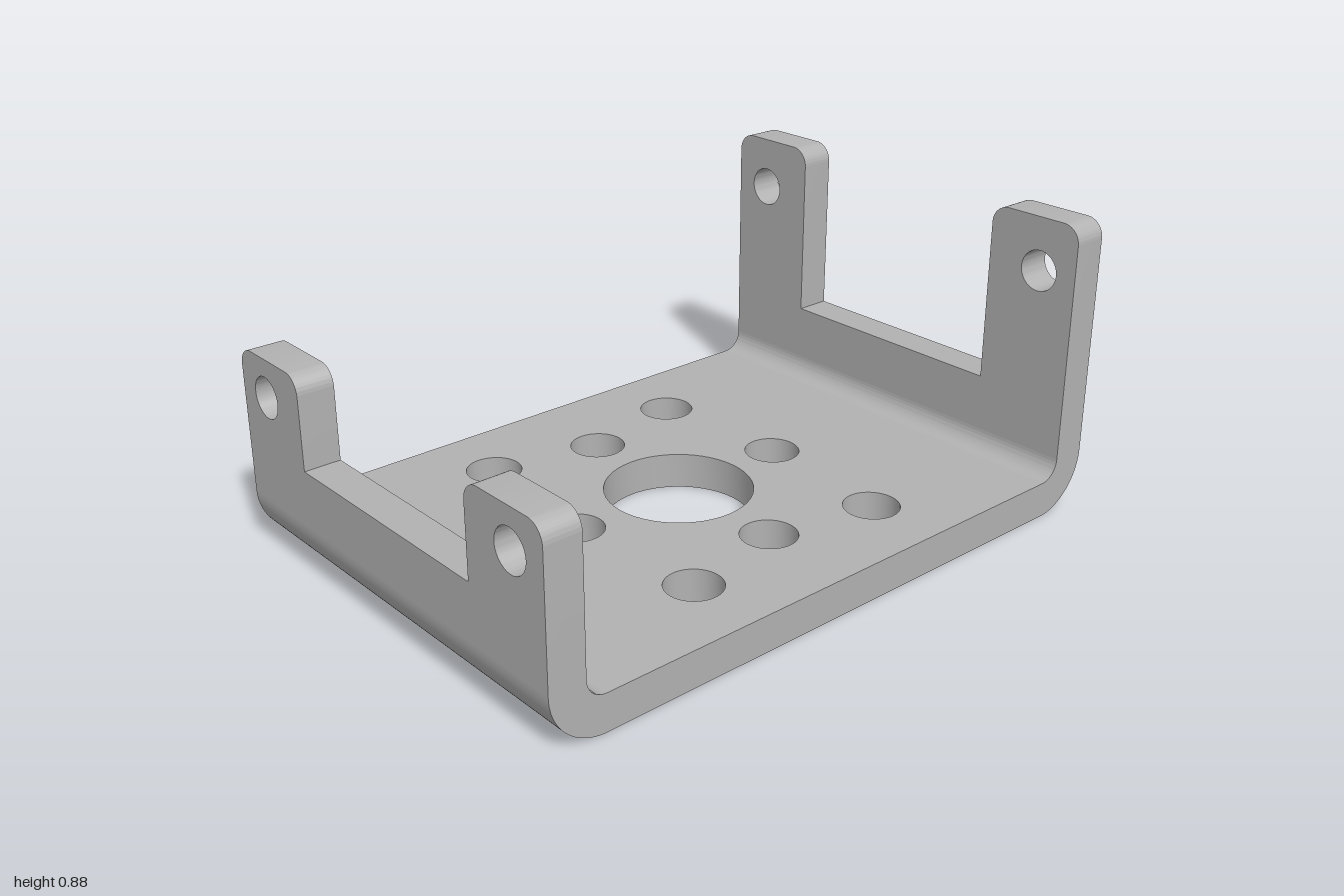
import * as THREE from 'three';
import { toCreasedNormals } from 'three/addons/utils/BufferGeometryUtils.js';

const W = 0.991;          // half width
const D = 0.687;          // half depth
const T = 0.11;           // sheet thickness
const R = 0.17;           // outer bend radius
const CX = W - R;         // where the flat base meets the bends
const WEB = 0.34;         // height of the wall between the tabs
const TAB = 0.303;        // tab width
const CORNER = 0.055;     // tab corner radius

function addHole(shape, x, y, r) {
  const hole = new THREE.Path();
  hole.absarc(x, y, r, 0, Math.PI * 2, true);
  shape.holes.push(hole);
}

function extrude(shape, depth) {
  return new THREE.ExtrudeGeometry(shape, { depth, bevelEnabled: false, curveSegments: 24 });
}

// Drops the faces lying in a seam plane, so joined parts have no inner walls.
function openSeam(geometry, axis, value) {
  const p = geometry.attributes.position;
  const kept = [];
  for (let i = 0; i < p.count; i += 3) {
    const inSeam = [0, 1, 2].every((k) => Math.abs(p.getComponent(i + k, axis) - value) < 1e-5);
    if (inSeam) continue;
    for (let k = 0; k < 3; k++) kept.push(p.getX(i + k), p.getY(i + k), p.getZ(i + k));
  }
  const out = new THREE.BufferGeometry();
  out.setAttribute('position', new THREE.Float32BufferAttribute(kept, 3));
  return out;
}

// Flat base with a large bore and eight mounting holes
function baseGeometry() {
  const s = new THREE.Shape();
  s.moveTo(-CX, -D);
  s.lineTo(CX, -D);
  s.lineTo(CX, D);
  s.lineTo(-CX, D);
  s.closePath();
  addHole(s, 0, 0, 0.22);
  for (const k of [-1, 1]) {
    addHole(s, 0.38 * k, 0, 0.083);
    addHole(s, 0, 0.38 * k, 0.083);
    for (const j of [-1, 1]) addHole(s, 0.34 * k, 0.45 * j, 0.083);
  }
  const g = extrude(s, T).rotateX(-Math.PI / 2);
  return openSeam(openSeam(g, 0, CX), 0, -CX);
}

// Quarter-round bend between base and wall
function bendGeometry() {
  const s = new THREE.Shape();
  s.absarc(CX, R, R, -Math.PI / 2, 0, false);
  s.absarc(CX, R, R - T, 0, -Math.PI / 2, true);
  s.closePath();
  const g = extrude(s, 2 * D).translate(0, 0, -D);
  return openSeam(openSeam(g, 0, CX), 1, R);
}

// Wall with a rounded, drilled tab at each end
function wallGeometry(height, holeY) {
  const s = new THREE.Shape();
  const c = CORNER;
  const inner = D - TAB;
  s.moveTo(-D, R);
  s.lineTo(D, R);
  for (const [a, b] of [[D, inner], [-inner, -D]]) {
    s.lineTo(a, a === D ? R : WEB);
    s.lineTo(a, height - c);
    s.absarc(a - c, height - c, c, 0, Math.PI / 2, false);
    s.absarc(b + c, height - c, c, Math.PI / 2, Math.PI, false);
    s.lineTo(b, b === -D ? R : WEB);
  }
  for (const k of [-1, 1]) addHole(s, 0.561 * k, holeY, 0.061);
  const g = extrude(s, T).rotateY(-Math.PI / 2).translate(W, 0, 0);
  return openSeam(g, 1, R);
}

export function createModel() {
  const model = new THREE.Group();
  model.name = 'mountingBracket';
  const steel = new THREE.MeshStandardMaterial({ color: 0xb2b2b2 });
  steel.name = 'grey steel';

  function add(name, geometry, turned = false) {
    const mesh = new THREE.Mesh(toCreasedNormals(geometry, 0.5), steel);
    mesh.name = name;
    if (turned) mesh.rotation.y = Math.PI;
    model.add(mesh);
  }

  add('basePlate', baseGeometry());
  // Tall side
  add('tallSideBend', bendGeometry());
  add('tallSideWall', wallGeometry(0.885, 0.725));
  // Short side
  add('shortSideBend', bendGeometry(), true);
  add('shortSideWall', wallGeometry(0.612, 0.497), true);

  // The bracket sits very slightly turned
  model.rotation.y = -0.013;
  return model;
}
